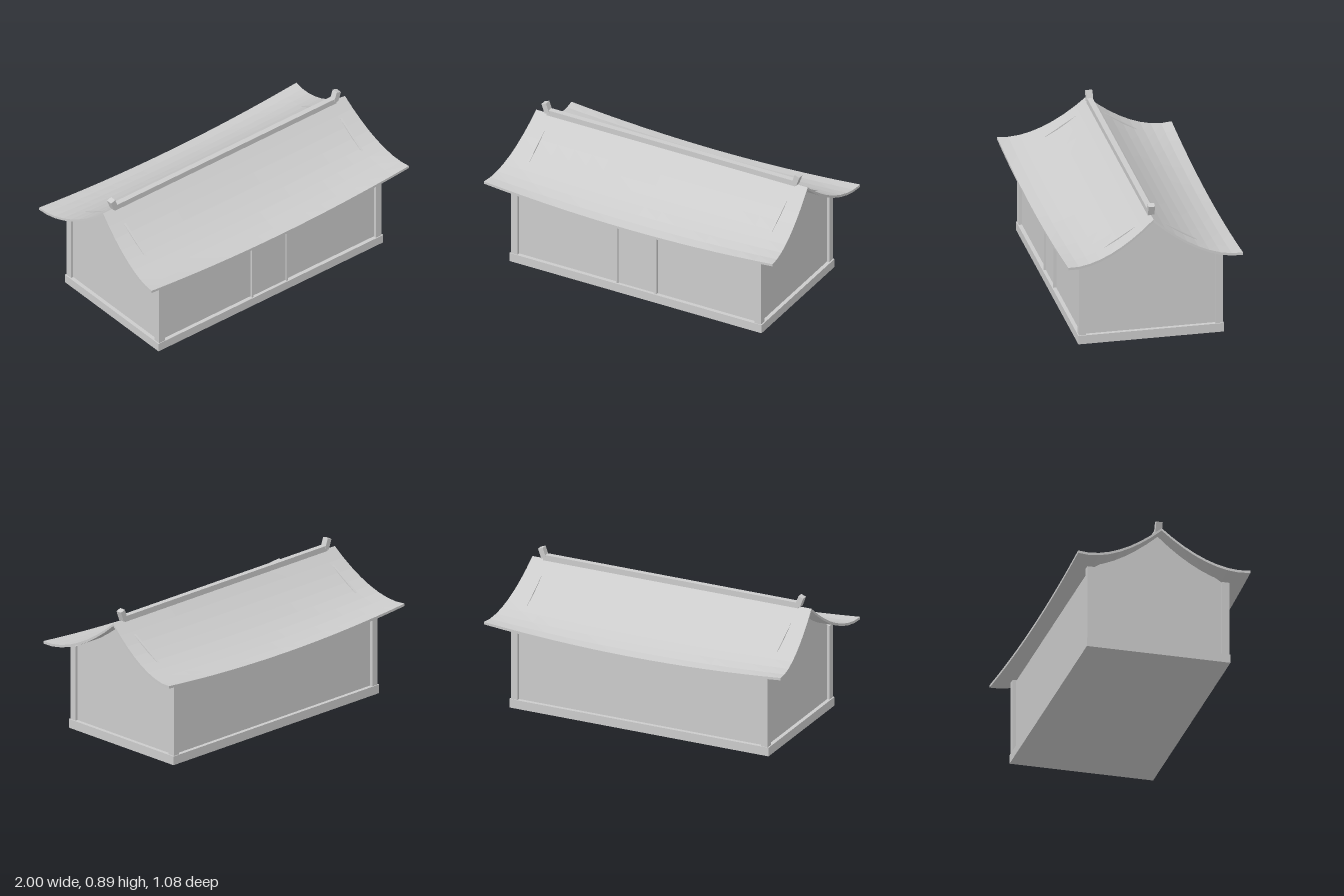
import * as THREE from 'three';

const material = new THREE.MeshStandardMaterial({ color: 0xcccccc, flatShading: true });

function add(group, name, geometry, x = 0, y = 0, z = 0) {
  const mesh = new THREE.Mesh(geometry, material);
  mesh.name = name;
  mesh.position.set(x, y, z);
  group.add(mesh);
  return mesh;
}

// Box given by its extents along each axis
function block(group, name, [x0, x1], [y0, y1], [z0, z1]) {
  return add(group, name, new THREE.BoxGeometry(x1 - x0, y1 - y0, z1 - z0),
    (x0 + x1) / 2, (y0 + y1) / 2, (z0 + z1) / 2);
}

// Curved roof: concave slopes, eaves rising and widening towards the ends
function roofGeometry() {
  const nx = 16, nz = 16, depth = 0.54, thick = 0.016;
  const positions = [], index = [];
  const row = nz + 1, layer = row * (nx + 1);
  for (const drop of [0, thick]) {
    for (let i = 0; i <= nx; i++) {
      const s = (i / nx) * 2 - 1;
      for (let j = 0; j <= nz; j++) {
        const t = (j / nz) * 2 - 1, u = Math.abs(t);
        const y = 0.526 + 0.289 * Math.pow(1 - u, 1.7) + 0.047 * s * s * u * u;
        positions.push(s * (0.94 + 0.06 * u), y - drop, t * depth);
      }
    }
  }
  const quad = (a, b, c, d) => index.push(a, b, c, a, c, d);
  const top = (i, j) => i * row + j;
  const under = (i, j) => layer + i * row + j;
  for (let i = 0; i < nx; i++) {
    for (let j = 0; j < nz; j++) {
      quad(top(i, j), top(i, j + 1), top(i + 1, j + 1), top(i + 1, j));
      quad(under(i, j), under(i + 1, j), under(i + 1, j + 1), under(i, j + 1));
    }
    // eave edges
    quad(top(i, nz), under(i, nz), under(i + 1, nz), top(i + 1, nz));
    quad(top(i, 0), top(i + 1, 0), under(i + 1, 0), under(i, 0));
  }
  for (let j = 0; j < nz; j++) {
    // gable-end edges
    quad(top(nx, j), top(nx, j + 1), under(nx, j + 1), under(nx, j));
    quad(top(0, j), under(0, j), under(0, j + 1), top(0, j + 1));
  }
  const geometry = new THREE.BufferGeometry();
  geometry.setAttribute('position', new THREE.Float32BufferAttribute(positions, 3));
  geometry.setIndex(index);
  geometry.computeVertexNormals();
  return geometry;
}

export function createModel() {
  const house = new THREE.Group();
  house.name = 'house';

  // Plinth and walls
  block(house, 'plinth', [-0.873, 0.873], [0.004, 0.06], [-0.45, 0.45]);
  block(house, 'walls', [-0.848, 0.848], [0.06, 0.53], [-0.425, 0.425]);

  // Corner posts
  for (const sx of [-1, 1]) {
    for (const sz of [-1, 1]) {
      add(house, 'cornerPost', new THREE.BoxGeometry(0.045, 0.48, 0.045),
        sx * 0.8425, 0.3, sz * 0.4225);
    }
  }

  // Triangular gables
  const triangle = new THREE.Shape([
    new THREE.Vector2(-0.425, 0.53), new THREE.Vector2(0.425, 0.53), new THREE.Vector2(0, 0.797),
  ]);
  const gable = new THREE.ExtrudeGeometry(triangle, { depth: 0.015, bevelEnabled: false });
  gable.translate(0, 0, -0.0075).rotateY(Math.PI / 2);
  for (const sx of [-1, 1]) add(house, 'gable', gable, sx * 0.8405);

  // Doorway in the front wall
  block(house, 'doorPanel', [-0.128, 0.128], [0.06, 0.45], [0.41, 0.43]);
  for (const sx of [-1, 1]) {
    add(house, 'doorJamb', new THREE.BoxGeometry(0.012, 0.39, 0.03), sx * 0.134, 0.255, 0.428);
  }
  block(house, 'doorLintel', [-0.15, 0.15], [0.45, 0.515], [0.41, 0.444]);

  // Roof, ridge beam and tilted ridge ends
  add(house, 'roof', roofGeometry());
  block(house, 'ridgeBeam', [-0.86, 0.86], [0.808, 0.844], [-0.0175, 0.0175]);
  for (const sx of [-1, 1]) {
    const end = add(house, 'ridgeEnd', new THREE.BoxGeometry(0.034, 0.066, 0.04),
      sx * 0.866, 0.853, 0);
    end.rotation.z = -sx * 0.35;
  }
  return house;
}
